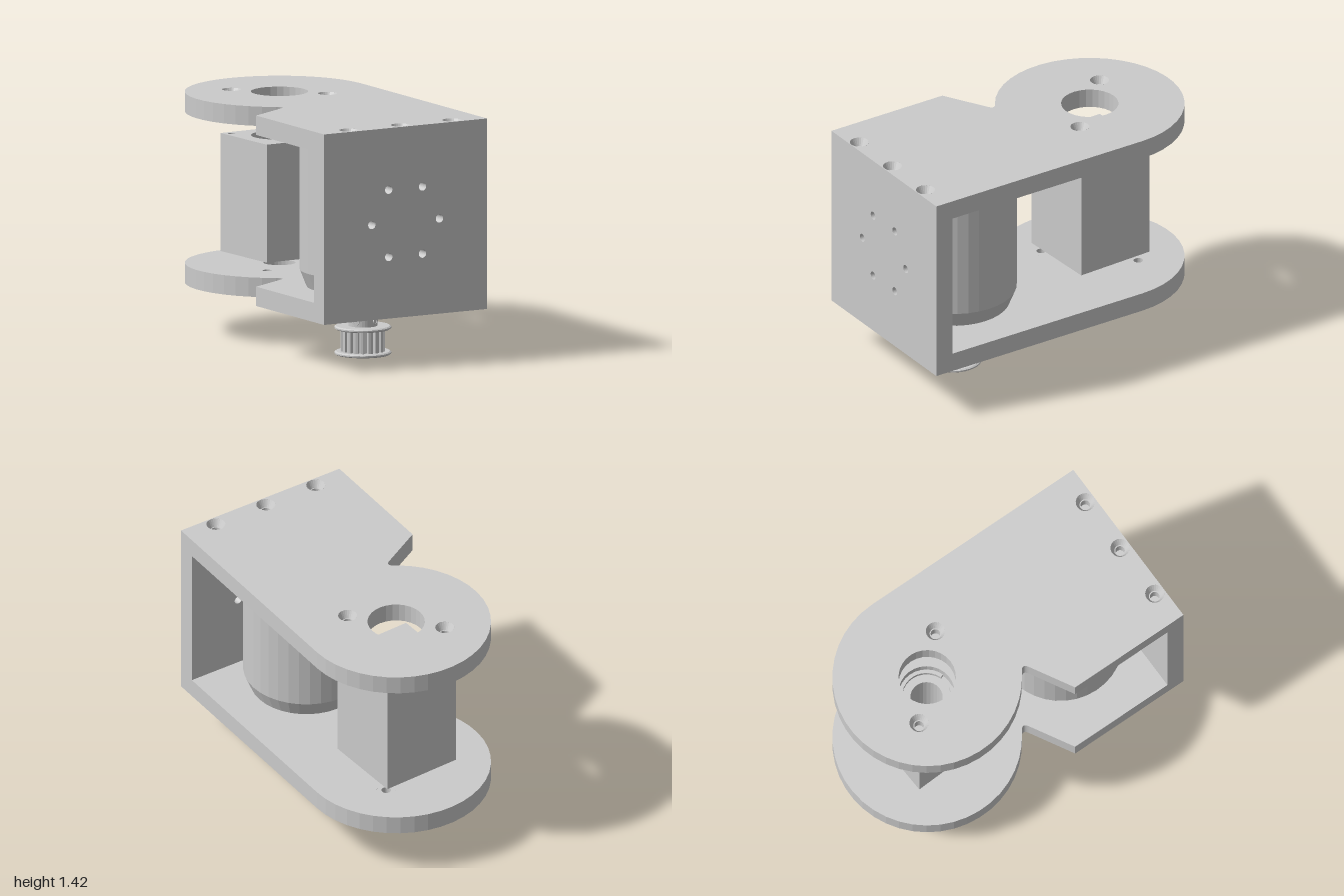
import * as THREE from 'three';

const material = new THREE.MeshStandardMaterial({ color: 0xcccccc, flatShading: true, side: THREE.DoubleSide });
const MOTOR_Z = 0.51, ROUND_Z = -0.445;
const PLATE = 0.115, SEAT_R = 0.056;

function part(parent, name, geometry, x = 0, y = 0, z = 0) {
  const mesh = new THREE.Mesh(geometry, material);
  mesh.name = name;
  mesh.position.set(x, y, z);
  parent.add(mesh);
  return mesh;
}

const lathe = (points, segments = 32) =>
  new THREE.LatheGeometry(points.map(([r, y]) => new THREE.Vector2(r, y)), segments);

function addHole(shape, x, y, r) {
  const hole = new THREE.Path();
  hole.absarc(x, y, r, 0, Math.PI * 2, true);
  shape.holes.push(hole);
}

// Extrudes a shape drawn in (x, z) so that it hangs down from y = 0
function slab(shape, depth, curveSegments = 14) {
  const geometry = new THREE.ExtrudeGeometry(shape, { depth, bevelEnabled: false, curveSegments });
  return geometry.rotateX(Math.PI / 2);
}

function ringShape(outer, inner) {
  const shape = new THREE.Shape();
  shape.absarc(0, 0, outer, 0, Math.PI * 2, false);
  addHole(shape, 0, 0, inner);
  return shape;
}

// Side plate: straight body, round end and a rounded notch between them
function plateShape() {
  const s = new THREE.Shape();
  s.moveTo(-0.555, 1);
  s.lineTo(0.555, 1);
  s.lineTo(0.555, ROUND_Z);
  s.absarc(0, ROUND_Z, 0.555, 0, -Math.PI * 1.318, true);
  s.quadraticCurveTo(-0.25, 0.05, -0.292, 0.075);
  s.lineTo(-0.555, 0.222);
  s.closePath();
  return s;
}

// Countersunk insert that fills a round hole in a plate
const screwSeat = () => lathe([
  [SEAT_R, -PLATE], [0.028, -PLATE], [0.028, -0.045], [0.034, -0.045], [SEAT_R, 0],
], 24);

function addPlate(parent, name, y, boreRadius, side, extraHoles) {
  const group = new THREE.Group();
  group.name = name;
  const shape = plateShape();
  addHole(shape, 0, ROUND_Z, boreRadius);
  const seats = [
    [-0.35, 0.94], [0, 0.94], [0.35, 0.94],
    [-0.205 * side, ROUND_Z - 0.205], [0.205 * side, ROUND_Z + 0.205],
  ];
  for (const [x, z] of seats) {
    addHole(shape, x, z, SEAT_R);
    const seat = part(group, 'screwSeat', screwSeat(), x, side > 0 ? 0 : -PLATE, z);
    if (side < 0) seat.rotation.x = Math.PI;
  }
  for (const [x, z] of extraHoles) addHole(shape, x, z, 0.025);
  part(group, 'plate', slab(shape, PLATE));
  group.position.y = y;
  parent.add(group);
}

// Front wall joining both plates, with a circle of six holes
function addFrontWall(parent) {
  const s = new THREE.Shape();
  s.moveTo(-0.555, 0.405);
  s.lineTo(0.555, 0.405);
  s.lineTo(0.555, 1.305);
  s.lineTo(-0.555, 1.305);
  s.closePath();
  for (let i = 0; i < 6; i++) {
    const a = i * Math.PI / 3;
    addHole(s, 0.23 * Math.cos(a), 0.855 + 0.23 * Math.sin(a), 0.025);
  }
  const geometry = new THREE.ExtrudeGeometry(s, { depth: PLATE, bevelEnabled: false });
  part(parent, 'frontWall', geometry, 0, 0, 1 - PLATE);
}

// Bearing block, made of two halves whose blind screw holes are mirrored
function addBearingBlock(parent) {
  const group = new THREE.Group();
  group.name = 'bearingBlock';
  const h = 0.2475;
  for (const side of [1, -1]) {
    const s = new THREE.Shape();
    s.moveTo(-h, -h);
    s.lineTo(h, -h);
    s.lineTo(h, h);
    s.lineTo(-h, h);
    s.closePath();
    addHole(s, 0, 0, 0.165);
    addHole(s, -0.2 * side, -0.2, 0.022);
    addHole(s, 0.2 * side, 0.2, 0.022);
    part(group, side > 0 ? 'upperBlock' : 'lowerBlock', slab(s, 0.35), 0, side > 0 ? 1.16 : 0.81);
  }
  part(group, 'bearing', slab(ringShape(0.165, 0.095), 0.54), 0, 1.08);

  // Retaining ring, open towards the front
  const ring = new THREE.Shape();
  const start = Math.PI / 2 + 0.28, end = Math.PI * 2.5 - 0.28;
  ring.absarc(0, 0, 0.165, start, end, false);
  ring.absarc(0, 0, 0.143, end, start, true);
  ring.closePath();
  part(group, 'retainingRing', slab(ring, 0.025), 0, 1.105);

  group.position.set(0, 0, ROUND_Z - 0.005);
  group.rotation.y = 0.045;
  parent.add(group);
}

function addMotor(parent) {
  part(parent, 'motorBody', lathe([
    [0, 0.405], [0.33, 0.405], [0.37, 0.505], [0.37, 1.275], [0, 1.275],
  ], 36), 0, 0, MOTOR_Z);
  part(parent, 'motorShaft', new THREE.CylinderGeometry(0.047, 0.047, 0.4, 24), 0, 0.205, MOTOR_Z);
}

// Toothed belt pulley with two flanges, a hub and two set screws
function addPulley(parent) {
  const group = new THREE.Group();
  group.name = 'pulley';
  const teeth = 18, step = Math.PI * 2 / teeth;
  const outline = [];
  for (let i = 0; i < teeth; i++) {
    for (const [t, r] of [[-0.3, 0.13], [0, 0.132], [0.3, 0.13], [0.38, 0.108], [0.62, 0.108]]) {
      const a = (i + t) * step;
      outline.push(new THREE.Vector2(r * Math.cos(a), r * Math.sin(a)));
    }
  }
  part(group, 'teeth', slab(new THREE.Shape(outline), 0.14), 0, 0.155);
  for (const y of [0, 0.15]) {
    part(group, 'flange', lathe([
      [0, 0], [0.158, 0], [0.167, 0.006], [0.167, 0.014], [0.158, 0.02], [0, 0.02],
    ], 36), 0, y);
  }
  part(group, 'hub', new THREE.CylinderGeometry(0.085, 0.085, 0.075, 32), 0, 0.1975);
  for (const angle of [Math.PI / 6, -Math.PI / 3]) {
    const holder = new THREE.Group();
    holder.name = 'setScrew';
    const screw = part(holder, 'setScrewRim', lathe([
      [0, 0.08], [0.014, 0.08], [0.014, 0.087], [0.024, 0.087], [0.024, 0.075],
    ], 18), 0, 0.203);
    screw.rotation.x = Math.PI / 2;
    holder.rotation.y = angle;
    group.add(holder);
  }
  group.position.z = MOTOR_Z;
  parent.add(group);
}

export function createModel() {
  const model = new THREE.Group();
  model.name = 'motorBracket';
  const motorHoles = [0, 1, 2, 3].map((i) => {
    const a = i * Math.PI / 2;
    return [0.23 * Math.cos(a), MOTOR_Z + 0.23 * Math.sin(a)];
  });
  addPlate(model, 'topPlate', 1.42, 0.168, 1, []);
  addPlate(model, 'bottomPlate', 0.405, 0.095, -1, motorHoles);
  addFrontWall(model);
  addBearingBlock(model);
  addMotor(model);
  addPulley(model);
  return model;
}
